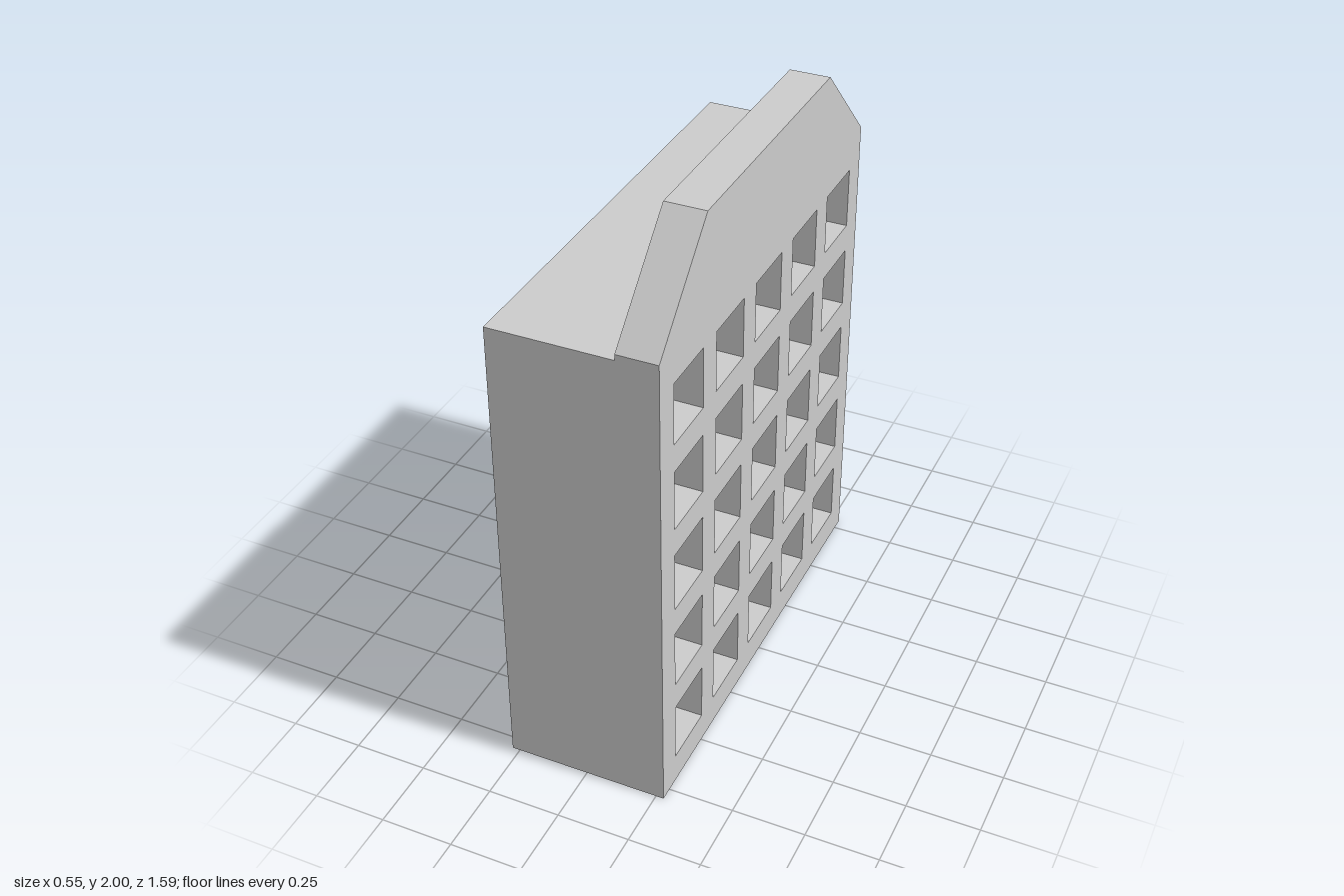
import * as THREE from 'three';

const HALF_DEPTH = 0.795, BODY_TOP = 1.66;
const X_BACK = -0.277, X_POCKET = 0, X_STEP = 0.14, X_FACE = 0.277;

const material = new THREE.MeshStandardMaterial({ color: 0xcccccc, flatShading: true });

function polygon(points, Type = THREE.Shape) {
  return new Type(points.map(([u, v]) => new THREE.Vector2(u, v)));
}

// 5 x 5 grid of square window openings
function addWindows(shape) {
  const w = 0.1025, h = 0.106;
  for (let row = 0; row < 5; row++) {
    for (let col = -2; col <= 2; col++) {
      const u = col * 0.299, v = 0.212 + row * 0.311;
      shape.holes.push(polygon([[u - w, v - h], [u - w, v + h], [u + w, v + h], [u + w, v - h]], THREE.Path));
    }
  }
  return shape;
}

// Extrudes a side profile along x, from x0 to x1
function slab(name, shape, x0, x1) {
  const geometry = new THREE.ExtrudeGeometry(shape, { depth: x1 - x0, bevelEnabled: false });
  geometry.rotateY(Math.PI / 2).translate(x0, 0, 0);
  const mesh = new THREE.Mesh(geometry, material);
  mesh.name = name;
  return mesh;
}

export function createModel() {
  const group = new THREE.Group();
  group.name = 'building';
  const d = HALF_DEPTH;
  const bodyProfile = () => polygon([[-d, 0], [d, 0], [d, BODY_TOP], [-d, BODY_TOP]]);
  const facadeProfile = polygon([[-d, 0], [d, 0], [d, 1.68], [0.472, 2], [-0.472, 2], [-d, 1.68]]);

  // Solid rear block, the pocketed layer behind the windows, and the tall facade
  group.add(
    slab('rearBlock', bodyProfile(), X_BACK, X_POCKET),
    slab('windowRecesses', addWindows(bodyProfile()), X_POCKET, X_STEP),
    slab('facade', addWindows(facadeProfile), X_STEP, X_FACE),
  );
  return group;
}
